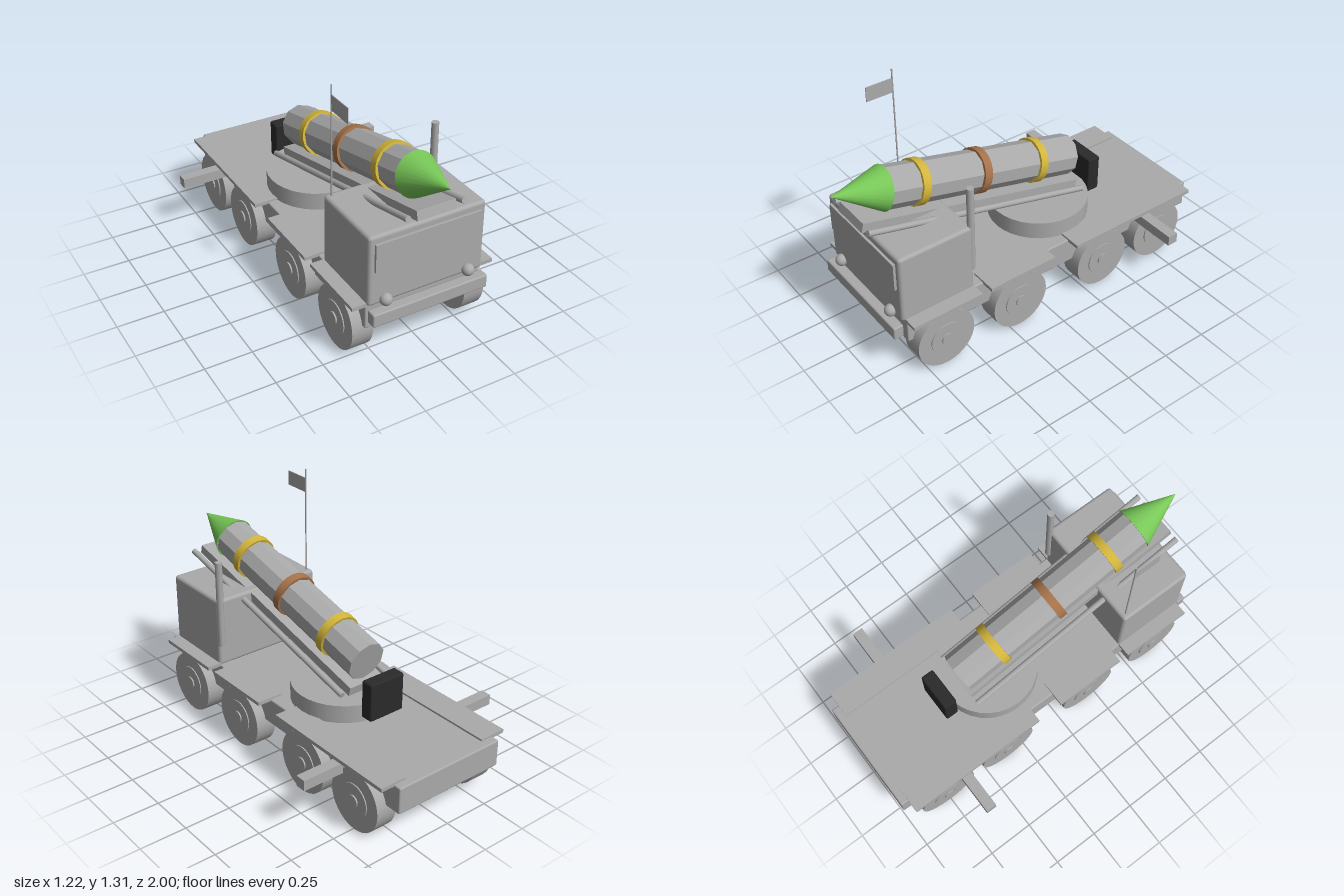
import * as THREE from 'three';
import { RoundedBoxGeometry } from 'three/addons/geometries/RoundedBoxGeometry.js';

const paint = (name, color, flatShading = false) => {
  const m = new THREE.MeshStandardMaterial({ color });
  m.name = name;
  m.flatShading = flatShading;
  return m;
};

export function createModel() {
  const grey = paint('grey', 0xaaaaaa);
  const black = paint('black', 0x2a2a2a);
  const green = paint('green', 0x78c858);
  const gold = paint('gold', 0xd2b53c);
  const brown = paint('brown', 0xa5724a);

  const model = new THREE.Group();
  model.name = 'rocketTruck';

  const add = (parent, name, geometry, material, x, y, z) => {
    const mesh = new THREE.Mesh(geometry, material);
    mesh.name = name;
    mesh.position.set(x, y, z);
    parent.add(mesh);
    return mesh;
  };
  const box = (w, h, d) => new THREE.BoxGeometry(w, h, d);
  const rounded = (w, h, d, r) => new RoundedBoxGeometry(w, h, d, 2, r);
  const cyl = (r, h, sides = 24) => new THREE.CylinderGeometry(r, r, h, sides);
  const crossCyl = (r, w, sides) => cyl(r, w, sides).rotateZ(Math.PI / 2);

  // Chassis, bumper and cab
  add(model, 'chassis', rounded(0.64, 0.145, 1.83, 0.008), grey, 0, 0.2725, -0.085);
  add(model, 'frontBumper', rounded(0.64, 0.072, 0.055, 0.008), grey, 0, 0.291, 0.878);
  add(model, 'cab', rounded(0.64, 0.385, 0.42, 0.018), grey, 0, 0.5325, 0.645);
  add(model, 'windshield', box(0.58, 0.152, 0.015), grey, 0, 0.609, 0.861);

  // Wheels, hubs, axles and fenders
  for (const z of [0.645, 0.19, -0.355, -0.75]) {
    add(model, 'axle', crossCyl(0.027, 0.54, 10), grey, 0, 0.165, z);
    for (const side of [-1, 1]) {
      const wheel = new THREE.Group();
      wheel.name = 'wheel';
      wheel.position.set(side * 0.319, 0.165, z);
      model.add(wheel);
      add(wheel, 'tyre', crossCyl(0.165, 0.114, 32), grey, 0, 0, 0);
      add(wheel, 'rim', crossCyl(0.092, 0.126, 24), grey, 0, 0, 0);
      add(wheel, 'hub', crossCyl(0.033, 0.142, 16), grey, 0, 0, 0);
      add(model, 'fender', box(0.15, 0.02, 0.4), grey, side * 0.32, 0.345, z - 0.007);
    }
  }

  // Headlights and side stabilisers
  for (const side of [-1, 1]) {
    add(model, 'headlight', new THREE.SphereGeometry(0.032, 20, 14), grey, side * 0.23, 0.365, 0.865);
    add(model, 'stabiliser', box(0.35, 0.056, 0.058), grey, side * 0.433, 0.303, -0.638);
  }

  // Exhaust stack, antenna and flag
  add(model, 'exhaustStack', cyl(0.019, 0.485, 12), grey, 0.303, 0.7025, 0.437);
  add(model, 'antenna', cyl(0.004, 0.6, 8), grey, -0.29, 1.01, 0.464);
  add(model, 'flag', box(0.004, 0.08, 0.15), grey, -0.29, 1.22, 0.539);

  // Turntable and control box behind it
  add(model, 'turntable', cyl(0.27, 0.1, 32), grey, 0, 0.392, -0.21);
  add(model, 'controlBox', rounded(0.21, 0.207, 0.073, 0.01), black, 0, 0.488, -0.512);

  // Launcher: local y runs along the tilted axis, starting at the rocket tail
  const launcher = new THREE.Group();
  launcher.name = 'launcher';
  launcher.position.set(0, 0.619, -0.387);
  launcher.rotation.x = THREE.MathUtils.degToRad(76);
  model.add(launcher);

  // Local +z points down from the rocket to the bed
  add(launcher, 'launchBed', box(0.21, 1.333, 0.05), grey, 0, 0.634, 0.133);
  for (const side of [-1, 1]) {
    add(launcher, 'launchRail', cyl(0.016, 1.333, 12), grey, side * 0.152, 0.634, 0.133);
  }

  // Faceted rocket body with a pointed nose
  const body = cyl(0.109, 1.16, 10).toNonIndexed();
  body.computeVertexNormals();
  add(launcher, 'rocketBody', body, grey, 0, 0.58, 0);
  add(launcher, 'noseCone', new THREE.ConeGeometry(0.115, 0.275, 24), green, 0, 1.293, 0);

  // Bands around the rocket
  [[0.236, gold], [0.6, brown], [0.968, gold]].forEach(([y, material]) => {
    add(launcher, 'rocketBand', cyl(0.119, 0.045, 24), material, 0, y, 0);
  });

  return model;
}
